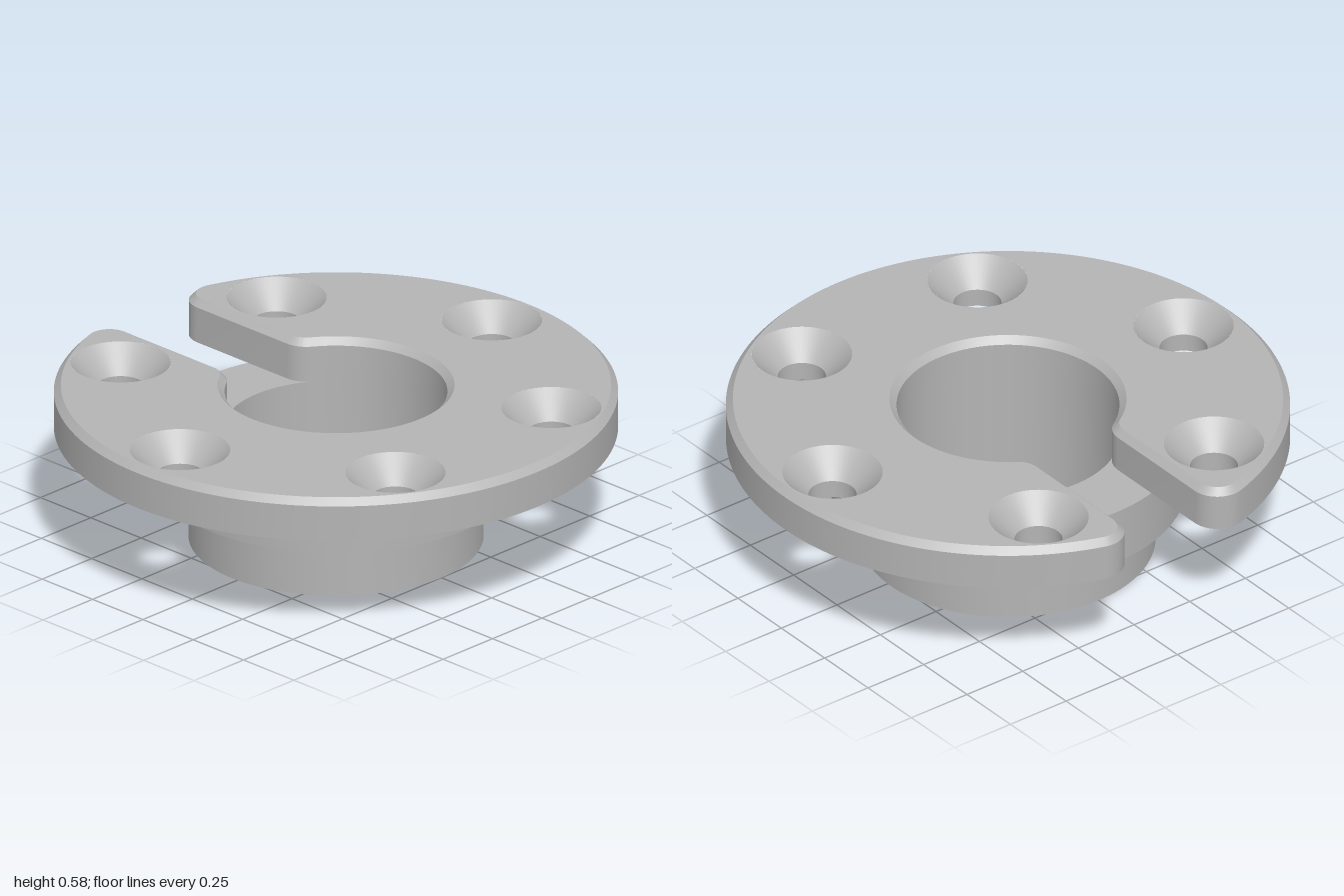
import * as THREE from 'three';
import { mergeGeometries, toCreasedNormals } from 'three/addons/utils/BufferGeometryUtils.js';

const CHAMFER = 0.025, OUTER = 1, BORE = 0.395, SLOT = 0.172, FILLET = 0.1;
const BASE = 0.425, TOP = 0.585, STEP = 0.215;
const HOLE = 0.085, SINK = 0.178, BOLT_CIRCLE = 0.788, SEG = 48;

// C-shaped flange outline, drawn inward by d
function outline(d) {
  const cz = SLOT + FILLET;
  const tipX = -Math.sqrt((OUTER - FILLET) ** 2 - cz * cz);
  const neckX = -Math.sqrt((BORE + FILLET) ** 2 - cz * cz);
  const tip = Math.atan2(cz, tipX), neck = Math.atan2(cz, neckX);
  const half = [];
  const arc = (x, y, r, from, to, n) => {
    for (let i = 0; i <= n; i++) {
      const t = from + (to - from) * i / n;
      half.push(new THREE.Vector2(x + r * Math.cos(t), y + r * Math.sin(t)));
    }
  };
  arc(0, 0, OUTER - d, 0, tip, 72);
  half.pop();
  arc(tipX, cz, FILLET - d, tip, Math.PI * 1.5, 12);
  arc(neckX, cz, FILLET - d, Math.PI * 1.5, Math.PI + neck, 10);
  half.pop();
  arc(0, 0, BORE + d, neck, 0, 40);
  const mirrored = half.slice(1, -1).reverse().map(p => new THREE.Vector2(p.x, -p.y));
  return half.concat(mirrored);
}

// Bolt hole centres, every 60 degrees
const boltCentres = Array.from({ length: 6 }, (_, i) => {
  const a = Math.PI / 6 + i * Math.PI / 3;
  return [BOLT_CIRCLE * Math.cos(a), BOLT_CIRCLE * Math.sin(a)];
});

// Flat plate with bolt holes, facing up or down
function cap(d, holeRadius, y, up) {
  const shape = new THREE.Shape(outline(d));
  for (const [x, z] of boltCentres) {
    shape.holes.push(new THREE.Path().absarc(x, z, holeRadius, 0, Math.PI * 2, true));
  }
  const geo = new THREE.ShapeGeometry(shape, SEG);
  geo.rotateX(up ? -Math.PI / 2 : Math.PI / 2).translate(0, y, 0);
  geo.deleteAttribute('uv');
  return geo.toNonIndexed();
}

// Side wall and top chamfer lofted through the outlines
function rim() {
  const rings = [[0, BASE], [0, TOP - CHAMFER], [CHAMFER, TOP]]
    .map(([d, y]) => outline(d).map(p => [p.x, y, -p.y]));
  const n = rings[0].length, pos = [], index = [];
  rings.forEach(r => r.forEach(p => pos.push(...p)));
  for (let k = 0; k < rings.length - 1; k++) {
    for (let i = 0; i < n; i++) {
      const a = k * n + i, b = k * n + (i + 1) % n;
      index.push(a, b, b + n, a, b + n, a + n);
    }
  }
  const geo = new THREE.BufferGeometry();
  geo.setAttribute('position', new THREE.Float32BufferAttribute(pos, 3));
  geo.setIndex(index);
  geo.computeVertexNormals();
  return toCreasedNormals(geo, 0.5);
}

function lathe(profile, segments) {
  const geo = new THREE.LatheGeometry(profile.map(p => new THREE.Vector2(...p)), segments);
  return toCreasedNormals(geo, 0.5);
}

export function createModel() {
  const model = new THREE.Group();
  model.name = 'slottedFlange';
  const metal = new THREE.MeshStandardMaterial({ color: 0xb4b4b4 });
  metal.name = 'grey metal';
  const body = new THREE.Group();
  body.name = 'body';
  body.position.x = -0.023;
  model.add(body);

  const add = (name, geo) => {
    const mesh = new THREE.Mesh(geo, metal);
    mesh.name = name;
    body.add(mesh);
    return mesh;
  };

  // Flange
  add('flange', mergeGeometries([
    rim(), cap(CHAMFER, SINK, TOP, true), cap(0, HOLE, BASE, false),
  ]));

  // Countersunk bolt holes
  const holeGeo = lathe([[SINK, TOP], [HOLE, TOP - (SINK - HOLE)], [HOLE, BASE]], SEG);
  for (const [x, z] of boltCentres) add('countersunkHole', holeGeo).position.set(x, 0, z);

  // Stepped collar with the bore through it
  add('steppedCollar', lathe([
    [BORE, 0], [0.523, 0], [0.523, STEP], [0.63, STEP], [0.63, BASE], [BORE, BASE], [BORE, 0],
  ], 128));

  return model;
}
